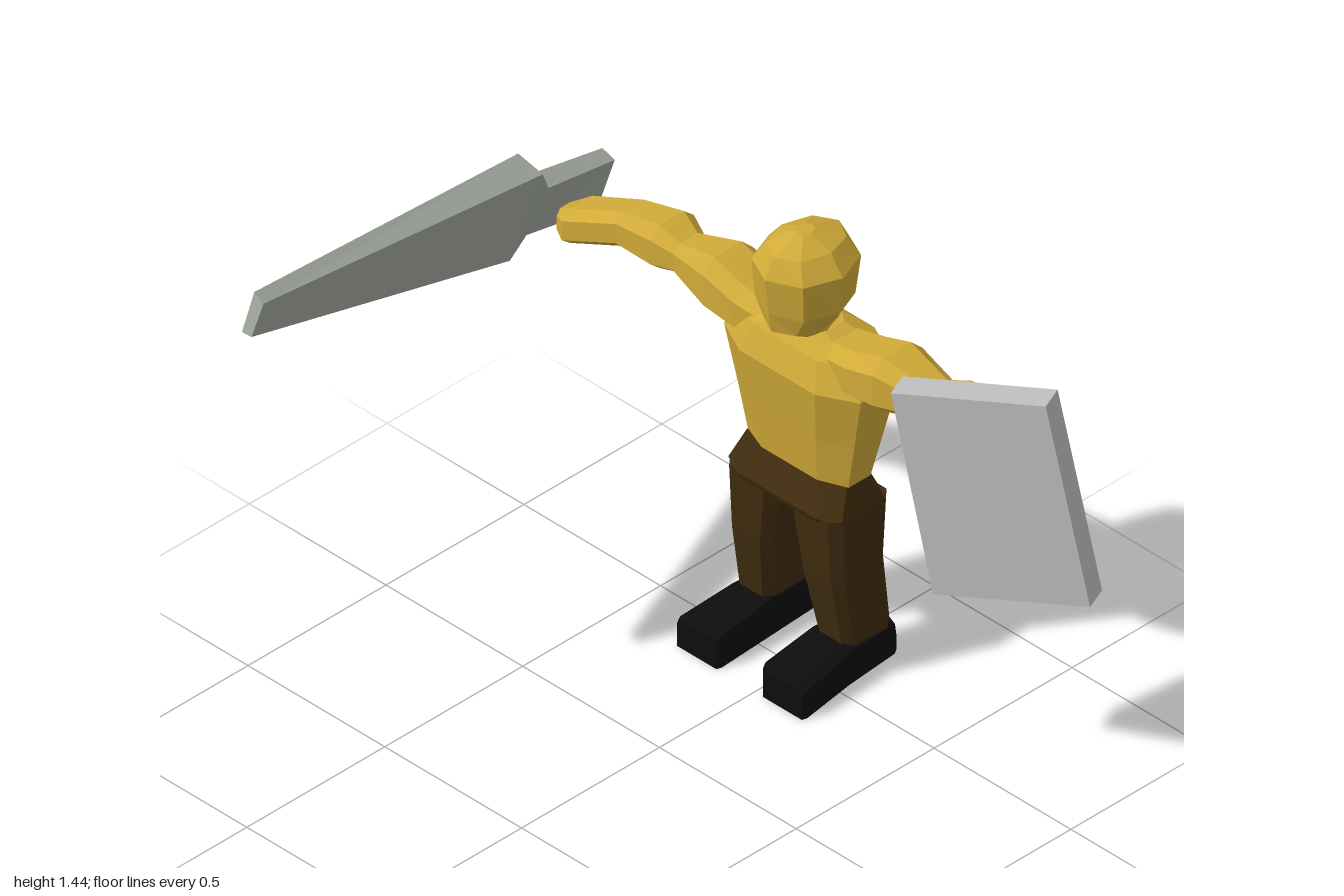
import * as THREE from 'three';

const CX = -0.055; // body centre line

const material = (name, color) => {
  const m = new THREE.MeshStandardMaterial({ color });
  m.name = name;
  return m;
};

// Joins rings of equal length into a closed, faceted solid
function loft(rings) {
  const n = rings[0].length, tris = [];
  for (let r = 0; r < rings.length - 1; r++) {
    for (let i = 0; i < n; i++) {
      const j = (i + 1) % n;
      const a = rings[r][i], b = rings[r][j], c = rings[r + 1][j], d = rings[r + 1][i];
      tris.push([a, b, c], [a, c, d]);
    }
  }
  const first = rings[0], last = rings[rings.length - 1];
  for (let i = 1; i < n - 1; i++) {
    tris.push([first[0], first[i + 1], first[i]], [last[0], last[i], last[i + 1]]);
  }
  // Signed volume tells whether the faces point inward
  const v = (p) => new THREE.Vector3(...p);
  const volume = tris.reduce((s, [a, b, c]) => s + v(a).dot(v(b).cross(v(c))), 0);
  if (volume < 0) tris.forEach((t) => t.reverse());
  const geometry = new THREE.BufferGeometry();
  geometry.setAttribute('position', new THREE.Float32BufferAttribute(tris.flat(2), 3));
  geometry.computeVertexNormals();
  return geometry;
}

// Rectangle with cut corners, as [u, v] pairs
function cutRect(hu, hv, cut) {
  const k = 1 - cut;
  return [[1, -k], [1, k], [k, 1], [-k, 1], [-1, k], [-1, -k], [-k, -1], [k, -1]]
    .map(([u, v]) => [u * hu, v * hv]);
}

// Horizontal cross-section from its x centre, height, half width and z range
const level = (x, y, hx, zBack, zFront, cut) =>
  cutRect(hx, (zFront - zBack) / 2, cut).map(([u, v]) => [x + u, y, (zBack + zFront) / 2 + v]);

// Cross-section facing along x
const armRing = ([x, y, z, hy, hz]) => cutRect(hy, hz, 0.45).map(([u, v]) => [x, y + u, z + v]);

// Octagonal head ring with a corner on the centre line
const headRing = ([y, hx, zBack, zFront]) => Array.from({ length: 8 }, (_, i) => {
  const t = (i * Math.PI) / 4;
  return [CX + hx * Math.cos(t), y, (zBack + zFront) / 2 + ((zFront - zBack) / 2) * Math.sin(t)];
});

export function createModel() {
  const model = new THREE.Group();
  model.name = 'fighter';
  const skin = material('golden skin', 0xd0aa38);
  const cloth = material('brown trousers', 0x3f2c0f);
  const leather = material('black boots', 0x0d0d0d);
  const steel = material('sword steel', 0xa0a69d);
  const plate = material('shield grey', 0xbcbcbc);

  const add = (name, rings, mat) => {
    const mesh = new THREE.Mesh(loft(rings), mat);
    mesh.name = name;
    model.add(mesh);
  };

  // Head
  add('head', [
    [1.02, 0.08, -0.67, -0.54],
    [1.06, 0.085, -0.68, -0.46],
    [1.12, 0.127, -0.715, -0.45],
    [1.235, 0.135, -0.735, -0.437],
    [1.29, 0.09, -0.705, -0.47],
    [1.325, 0.025, -0.61, -0.55],
  ].map(headRing), skin);

  // Torso
  add('torso', [
    level(CX, 0.6, 0.182, -0.67, -0.525, 0.45),
    level(CX, 0.75, 0.213, -0.70, -0.505, 0.45),
    level(CX, 0.92, 0.25, -0.73, -0.48, 0.45),
    level(CX, 1.0, 0.21, -0.72, -0.51, 0.45),
    level(CX, 1.045, 0.085, -0.67, -0.54, 0.45),
  ], skin);

  // Arms: x, y, z, half height, half depth
  add('rightArm', [
    [-0.16, 0.97, -0.61, 0.06, 0.08],
    [-0.26, 0.98, -0.61, 0.07, 0.09],
    [-0.365, 1.0, -0.61, 0.085, 0.09],
    [-0.51, 0.998, -0.612, 0.047, 0.058],
    [-0.58, 1.0, -0.62, 0.068, 0.08],
    [-0.7, 1.0, -0.602, 0.055, 0.067],
    [-0.86, 0.945, -0.57, 0.055, 0.072],
    [-0.895, 0.945, -0.545, 0.04, 0.03],
  ].map(armRing), skin);
  add('leftArm', [
    [0.05, 0.97, -0.61, 0.06, 0.08],
    [0.15, 0.98, -0.61, 0.07, 0.09],
    [0.255, 1.0, -0.61, 0.085, 0.09],
    [0.4, 0.998, -0.615, 0.047, 0.06],
    [0.47, 1.0, -0.625, 0.07, 0.075],
    [0.59, 0.995, -0.635, 0.055, 0.065],
    [0.7, 0.945, -0.635, 0.06, 0.066],
    [0.725, 0.94, -0.635, 0.045, 0.04],
  ].map(armRing), skin);

  // Hips
  add('hips', [
    level(CX, 0.51, 0.2, -0.695, -0.485, 0.3),
    level(CX, 0.53, 0.208, -0.7, -0.477, 0.3),
    level(CX, 0.608, 0.183, -0.672, -0.523, 0.4),
  ], cloth);

  // Legs and boots
  for (const [side, s] of [['right', -1], ['left', 1]]) {
    add(side + 'Leg', [
      level(CX + s * 0.147, 0.1, 0.058, -0.702, -0.535, 0.3),
      level(CX + s * 0.145, 0.13, 0.06, -0.702, -0.53, 0.3),
      level(CX + s * 0.13, 0.33, 0.073, -0.685, -0.497, 0.3),
      level(CX + s * 0.115, 0.53, 0.092, -0.7, -0.485, 0.3),
    ], cloth);

    // Boot sections from heel to toe: z, bottom, top, inner, outer
    add(side + 'Boot', [
      [-0.72, 0.015, 0.08, 0.09, 0.195],
      [-0.705, 0.015, 0.125, 0.085, 0.205],
      [-0.53, 0.01, 0.125, 0.08, 0.215],
      [-0.36, 0.0, 0.1, 0.08, 0.232],
      [-0.345, 0.0, 0.09, 0.085, 0.228],
    ].map(([z, y0, y1, x0, x1]) => [
      [CX + s * x0, y0, z], [CX + s * x1, y0, z], [CX + s * x1, y1 - 0.015, z],
      [CX + s * (x1 - 0.025), y1, z], [CX + s * x0, y1, z],
    ]), leather);
  }

  // Sword: grip flaring into a long tapered blade
  const bladeBase = [[-0.95, 1.18, -0.43], [-0.865, 1.155, -0.435], [-0.9, 0.905, -0.35], [-0.98, 0.945, -0.36]];
  add('swordGrip', [
    [[-0.98, 1.01, -0.765], [-0.935, 0.995, -0.765], [-0.955, 0.85, -0.72], [-1.0, 0.88, -0.725]],
    [[-0.955, 1.085, -0.49], [-0.9, 1.065, -0.49], [-0.93, 0.925, -0.44], [-0.978, 0.955, -0.445]],
    bladeBase,
  ], steel);
  add('swordBlade', [
    bladeBase,
    [[-0.745, 1.44, 0.73], [-0.706, 1.425, 0.735], [-0.72, 1.327, 0.765], [-0.755, 1.325, 0.765]],
  ], steel);

  // Shield: tilted slab
  const face = [[0.468, 1.178, -0.375], [0.88, 1.27, -0.528], [0.998, 0.67, -0.572], [0.582, 0.576, -0.415]];
  add('shield', [face, face.map(([x, y, z]) => [x - 0.031, y, z - 0.074])], plate);

  return model;
}
